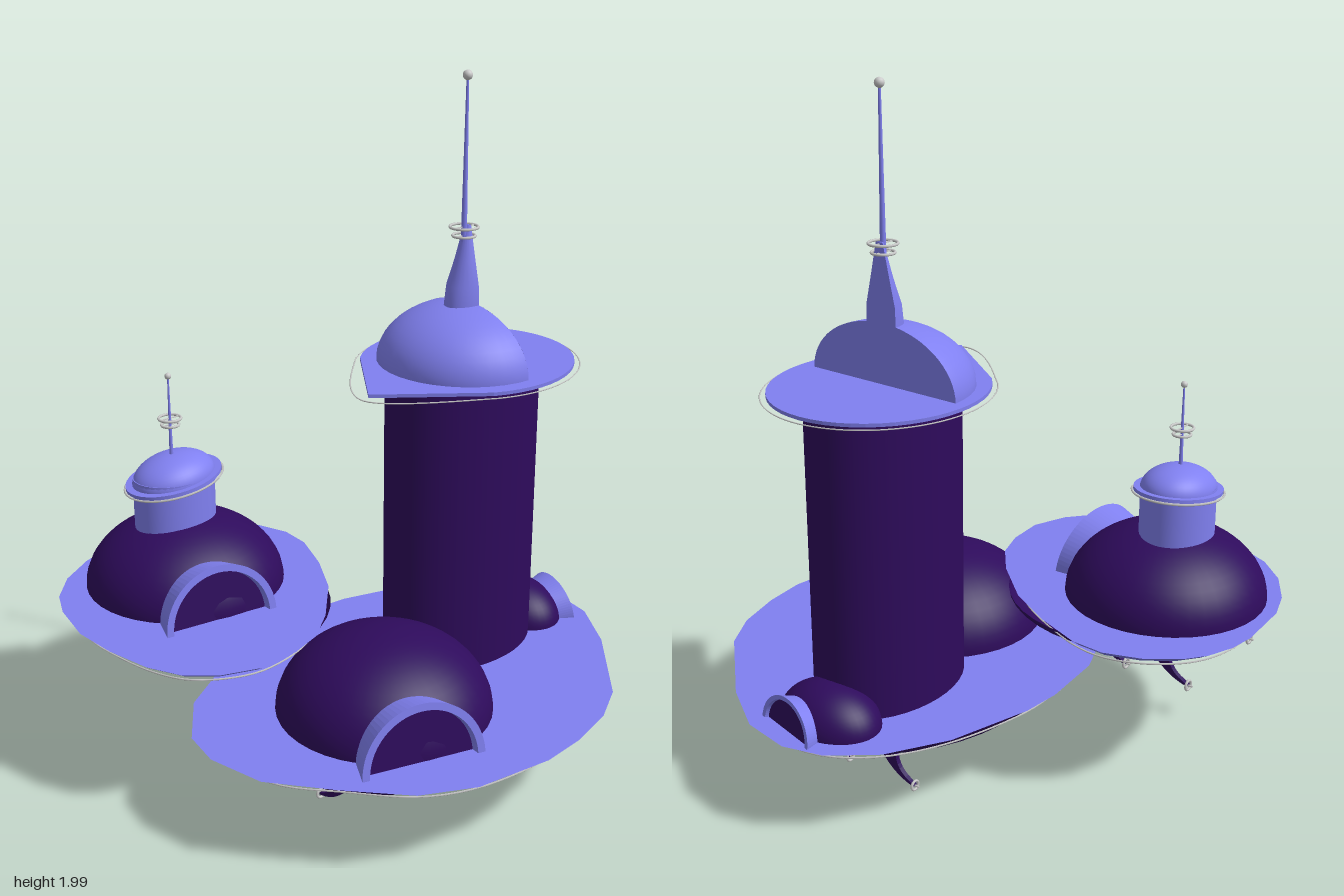
import * as THREE from 'three';

const mat = (color) => new THREE.MeshStandardMaterial({ color, side: THREE.DoubleSide });
const lilac = mat(0x8080f0), dark = mat(0x2e0b5c), grey = mat(0xcccccc);

function add(parent, name, geometry, material, x = 0, y = 0, z = 0) {
  const mesh = new THREE.Mesh(geometry, material);
  mesh.name = name;
  mesh.position.set(x, y, z);
  parent.add(mesh);
  return mesh;
}

// Upper or lower half of an ellipsoid
function halfEllipsoid(rx, h, rz, below = false) {
  const g = new THREE.SphereGeometry(1, 40, 14, 0, Math.PI * 2, below ? Math.PI / 2 : 0, Math.PI / 2);
  return g.scale(rx, h, rz);
}

// Flat plate from an [x, z] outline, its underside shrunk about (cx, cz)
function plate(outline, depth, shrink, cx, cz) {
  const shape = new THREE.Shape(outline.map(([x, z]) => new THREE.Vector2(x, z)));
  const g = new THREE.ExtrudeGeometry(shape, { depth, bevelEnabled: false }).rotateX(Math.PI / 2);
  const p = g.attributes.position;
  for (let i = 0; i < p.count; i++) {
    if (p.getY(i) > -depth / 2) continue;
    p.setX(i, cx + (p.getX(i) - cx) * shrink);
    p.setZ(i, cz + (p.getZ(i) - cz) * shrink);
  }
  g.computeVertexNormals();
  return g;
}

// Thin wire following an outline
function wire(outline, scale, cx, cz) {
  const pts = outline.map(([x, z]) => new THREE.Vector3(cx + (x - cx) * scale, 0, cz + (z - cz) * scale));
  return new THREE.TubeGeometry(new THREE.CatmullRomCurve3(pts, true, 'centripetal'), 90, 0.003, 4, true);
}

// Arched window hood, narrowing backwards, with a dark pane
function hood(parent, name, r, h, depth, x, y, z, turn) {
  const group = new THREE.Group();
  group.name = name;
  group.position.set(x, y, z);
  group.rotation.set(-0.14, turn, 0, 'YXZ');
  const arch = new THREE.Shape();
  arch.absarc(0, 0, r, 0, Math.PI, false);
  arch.absarc(0, 0, r * 0.88, Math.PI, 0, true);
  const g = new THREE.ExtrudeGeometry(arch, { depth, bevelEnabled: false, curveSegments: 20 });
  g.translate(0, 0, -depth).scale(1, h / r, 1);
  const p = g.attributes.position;
  for (let i = 0; i < p.count; i++) {
    if (p.getZ(i) < -depth / 2) p.setXY(i, p.getX(i) * 0.85, p.getY(i) * 0.9);
  }
  g.computeVertexNormals();
  add(group, 'hoodArch', g, lilac);
  const pane = new THREE.CircleGeometry(r * 0.9, 24, 0, Math.PI).scale(1, h / r, 1);
  add(group, 'windowPane', pane, dark, 0, 0, -depth * 0.2);
  parent.add(group);
}

// Needle with a ball on top and two rings round it
function antenna(parent, x, z, y0, y1, r, ball, rings) {
  const g = new THREE.CylinderGeometry(r * 0.4, r, y1 - y0, 10);
  add(parent, 'antennaNeedle', g, lilac, x, (y0 + y1) / 2, z);
  add(parent, 'antennaBall', new THREE.SphereGeometry(ball, 14, 10), grey, x, y1, z);
  for (const [y, radius] of rings) {
    const ring = new THREE.TorusGeometry(radius, 0.004, 6, 28).rotateX(Math.PI / 2);
    add(parent, 'antennaRing', ring, grey, x, y, z);
    add(parent, 'ringSpoke', new THREE.BoxGeometry(radius * 2, 0.003, 0.004), grey, x, y, z);
  }
}

// Thin curved landing hook trailing to the back, with a small wheel
function leg(parent, x, y, z) {
  const s = new THREE.Shape();
  s.moveTo(0.13, 0.09);
  s.quadraticCurveTo(0.085, 0.015, 0, -0.002);
  s.lineTo(0, 0.004);
  s.quadraticCurveTo(0.07, 0.03, 0.065, 0.09);
  s.closePath();
  const g = new THREE.ExtrudeGeometry(s, { depth: 0.014, bevelEnabled: false, curveSegments: 8 });
  g.translate(0, 0, -0.007).rotateY(-Math.PI / 2);
  add(parent, 'landingHook', g, dark, x, y, z);
  add(parent, 'wheel', new THREE.TorusGeometry(0.014, 0.004, 6, 18), grey, x, y, z);
  add(parent, 'axle', new THREE.CylinderGeometry(0.003, 0.003, 0.03, 6).rotateX(Math.PI / 2), grey, x, y, z);
}

function lowerSaucer() {
  const g = new THREE.Group();
  g.name = 'lowerSaucer';
  const outline = [[0.08, -0.32], [0.2, -0.31], [0.45, -0.24], [0.62, -0.14], [0.72, -0.02], [0.755, 0.1],
    [0.73, 0.25], [0.63, 0.41], [0.42, 0.64], [0.3, 0.71], [0.155, 0.75], [0.02, 0.765], [-0.21, 0.735],
    [-0.36, 0.66], [-0.5, 0.51], [-0.63, 0.35], [-0.67, 0.18], [-0.65, 0.06], [-0.54, -0.09], [-0.35, -0.21], [-0.12, -0.3]];
  add(g, 'lowerDeck', plate(outline, 0.035, 0.9, 0.05, 0.21), lilac, 0, 0.277, 0);
  add(g, 'lowerDeckWire', wire(outline, 0.91, 0.05, 0.2), grey, 0, 0.235, 0);
  add(g, 'lowerHull', halfEllipsoid(0.56, 0.193, 0.43, true), dark, 0.05, 0.243, 0.2);
  add(g, 'lowerDome', halfEllipsoid(0.31, 0.23, 0.31), dark, -0.13, 0.275, 0.265);
  add(g, 'sideDome', halfEllipsoid(0.12, 0.113, 0.16), dark, 0.57, 0.275, 0.095);
  hood(g, 'lowerHood', 0.182, 0.18, 0.12, -0.255, 0.277, 0.575, -0.28);
  hood(g, 'sideHood', 0.115, 0.1, 0.05, 0.7, 0.277, 0.145, 1.34);
  for (const x of [-0.31, 0.385]) for (const z of [0.2, -0.05]) leg(g, x, 0.025, z);
  return g;
}

function tower() {
  const g = new THREE.Group();
  g.name = 'tower';
  const cx = 0.3, cz = 0.11;
  add(g, 'towerShaft', new THREE.CylinderGeometry(1, 1, 0.91, 40).scale(0.257, 1, 0.18), dark, cx, 0.72, cz);

  // Roof disc drawn out to a point at one side
  const roof = [[-0.11, 0.17]];
  for (let i = 0; i <= 36; i++) {
    const a = -2.37 + (4.43 * i) / 36;
    roof.push([0.31 + 0.32 * Math.cos(a), 0.115 + 0.295 * Math.sin(a)]);
  }
  add(g, 'roofDisc', plate(roof, 0.01, 1, cx, cz), lilac, 0, 1.182, 0);
  const rim = roof.map(([x, z]) => new THREE.Vector3(0.3 + (x - 0.3) * 1.05, 0, cz + (z - cz) * 1.05));
  const rimCurve = new THREE.CatmullRomCurve3(rim, true, 'centripetal');
  add(g, 'roofWire', new THREE.TubeGeometry(rimCurve, 120, 0.002, 4, true), grey, 0, 1.17, 0);

  // Half dome with a flat cut face
  const dome = new THREE.SphereGeometry(1, 20, 12, -Math.PI / 2, Math.PI, 0, Math.PI / 2).scale(0.255, 0.175, 0.255);
  add(g, 'halfDome', dome, lilac, 0.305, 1.18, cz);
  const cut = new THREE.CircleGeometry(1, 32, 0, Math.PI).scale(0.255, 0.175, 1).rotateY(Math.PI / 2);
  add(g, 'domeCutFace', cut, lilac, 0.305, 1.18, cz);

  // Half spire with a flat cut face
  const profile = [[0.052, 0], [0.05, 0.06], [0.034, 0.13], [0.012, 0.23], [0, 0.23]].map(([r, y]) => new THREE.Vector2(r, y));
  const spire = new THREE.LatheGeometry(profile, 12, Math.PI, Math.PI);
  const p = spire.attributes.position;
  for (let i = 0; i < p.count; i++) {
    p.setX(i, p.getX(i) * (1.4 - 2.2 * Math.min(p.getY(i), 0.23)));
  }
  spire.computeVertexNormals();
  add(g, 'halfSpire', spire, lilac, 0.305, 1.345, cz);
  const mirrored = profile.map((v) => new THREE.Vector2(-v.x, v.y)).reverse();
  const face = new THREE.ShapeGeometry(new THREE.Shape([...profile, ...mirrored.slice(1)])).rotateY(Math.PI / 2);
  add(g, 'spireCutFace', face, lilac, 0.305, 1.345, cz);
  antenna(g, 0.29, cz, 1.5, 1.986, 0.009, 0.014, [[1.545, 0.032], [1.57, 0.04]]);
  return g;
}

function upperSaucer() {
  const g = new THREE.Group();
  g.name = 'upperSaucer';
  const outline = [[-0.61, -0.65], [-0.5, -0.72], [-0.4, -0.755], [-0.22, -0.77], [-0.14, -0.76], [-0.06, -0.73],
    [0, -0.685], [0.065, -0.6], [0.105, -0.49], [0.1, -0.39], [0.045, -0.245], [-0.035, -0.1], [-0.16, 0.04],
    [-0.26, 0.12], [-0.36, 0.155], [-0.48, 0.165], [-0.59, 0.125], [-0.67, 0.06], [-0.72, -0.04],
    [-0.75, -0.18], [-0.76, -0.32], [-0.73, -0.47], [-0.69, -0.56]];
  add(g, 'upperDeck', plate(outline, 0.032, 0.9, -0.33, -0.31), lilac, 0, 0.48, 0);
  add(g, 'upperDeckWire', wire(outline, 0.91, -0.33, -0.31), grey, 0, 0.442, 0);
  add(g, 'upperHull', halfEllipsoid(0.36, 0.09, 0.38, true), dark, -0.33, 0.45, -0.31);
  add(g, 'upperDome', halfEllipsoid(0.298, 0.215, 0.298), dark, -0.33, 0.478, -0.425);
  hood(g, 'upperHood', 0.175, 0.172, 0.12, -0.412, 0.48, -0.115, -0.14);

  // Turret with a tilted brim and cap
  const tx = -0.342, tz = -0.447;
  add(g, 'turret', new THREE.CylinderGeometry(1, 1, 0.18, 36).scale(0.128, 1, 0.104), lilac, tx, 0.73, tz);
  const cap = new THREE.Group();
  cap.name = 'turretCap';
  cap.position.set(tx, 0.81, tz);
  cap.rotation.z = 0.13;
  add(cap, 'capBrim', new THREE.CylinderGeometry(1, 1, 0.01, 36).scale(0.152, 1, 0.122), lilac);
  add(cap, 'capWire', new THREE.TorusGeometry(1, 0.025, 4, 40).rotateX(Math.PI / 2).scale(0.155, 0.15, 0.126), grey, 0, -0.008, 0);
  add(cap, 'capDome', halfEllipsoid(0.131, 0.074, 0.105), lilac);
  g.add(cap);
  antenna(g, -0.347, -0.447, 0.87, 1.125, 0.006, 0.01, [[0.975, 0.026], [0.995, 0.033]]);
  for (const x of [-0.505, -0.15]) for (const z of [-0.41, -0.62]) leg(g, x, 0.31, z);
  return g;
}

export function createModel() {
  const model = new THREE.Group();
  model.name = 'saucerTower';
  model.add(lowerSaucer(), tower(), upperSaucer());
  return model;
}
